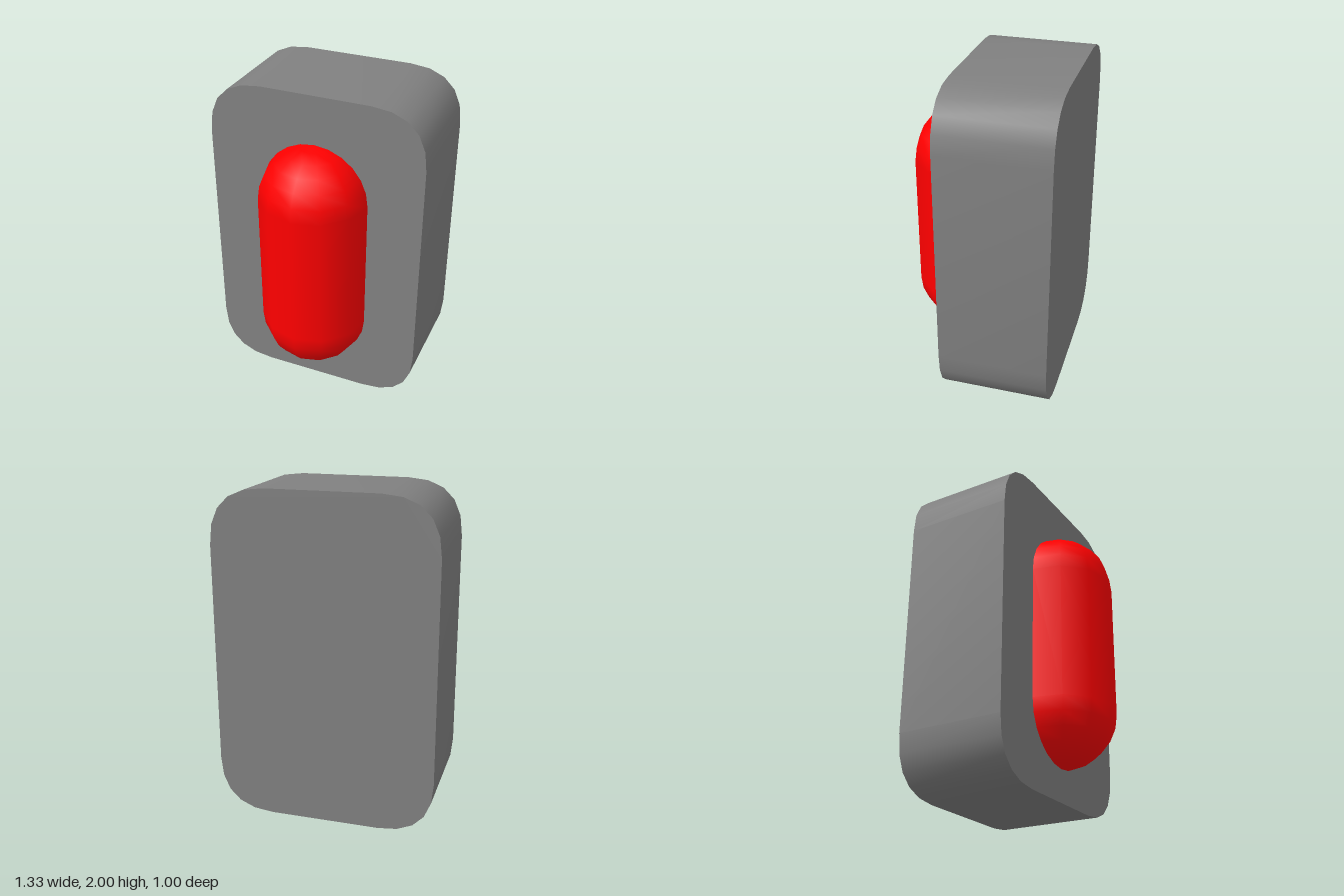
import * as THREE from 'three';
import { toCreasedNormals } from 'three/addons/utils/BufferGeometryUtils.js';

const W = 2 / 3;      // half width of the body
const R = 1 / 3;      // corner size, lamp radius and half depth
const K = R / 3;      // distance of the curve handles from each corner

// Upright outline with soft, slightly squared corners
function bodyShape() {
  const s = new THREE.Shape();
  s.moveTo(-W + R, 0);
  s.lineTo(W - R, 0);
  s.bezierCurveTo(W - K, 0, W, K, W, R);
  s.lineTo(W, 2 - R);
  s.bezierCurveTo(W, 2 - K, W - K, 2, W - R, 2);
  s.lineTo(-W + R, 2);
  s.bezierCurveTo(-W + K, 2, -W, 2 - K, -W, 2 - R);
  s.lineTo(-W, R);
  s.bezierCurveTo(-W, K, -W + K, 0, -W + R, 0);
  return s;
}

export function createModel() {
  const model = new THREE.Group();

  // Block: rounded outline, sharp front and back edges
  const block = new THREE.ExtrudeGeometry(bodyShape(), {
    depth: 2 * R, bevelEnabled: false, curveSegments: 5,
  });
  const body = new THREE.Mesh(
    toCreasedNormals(block, 0.7),
    new THREE.MeshStandardMaterial({ color: 0x808080 }),
  );
  body.name = 'body';
  body.position.z = -0.5;
  model.add(body);

  // Red capsule, half sunk into the front face
  const capsule = new THREE.Mesh(
    new THREE.CapsuleGeometry(R, 1.5 - 2 * R, 6, 12),
    new THREE.MeshStandardMaterial({ color: 0xff0000 }),
  );
  capsule.name = 'capsule';
  capsule.position.set(0, 0.95, 0.5 - R);
  model.add(capsule);

  return model;
}
